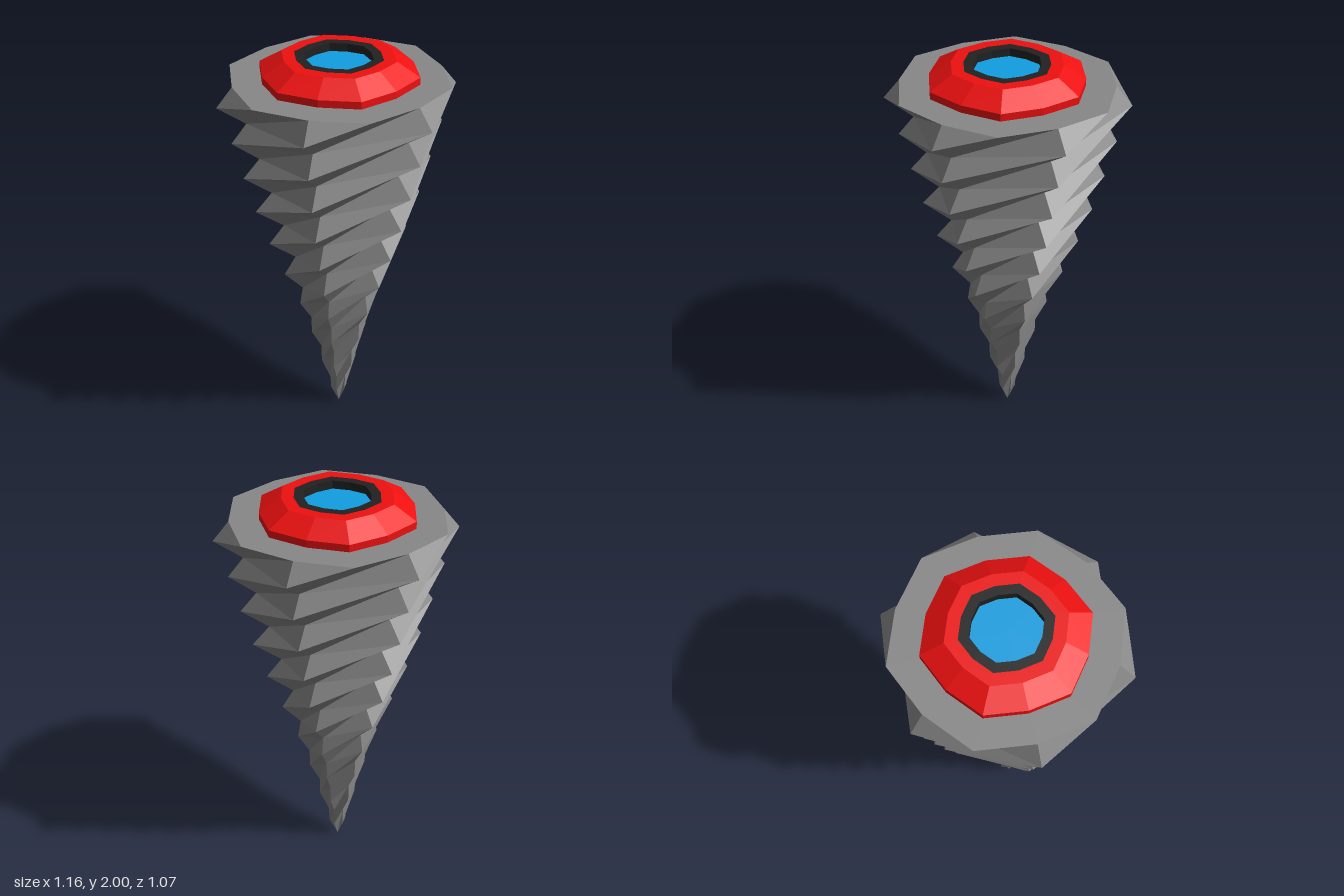
import * as THREE from 'three';

const TOP = 1.9;      // height of the drill's flat end
const STEP = 0.095;   // height between a ridge and the next groove

// radii down one column, from the flat end to just above the tip
const GROOVE = [0.505, 0.445, 0.39, 0.335, 0.28, 0.225, 0.19, 0.147, 0.095, 0.048];
const RIDGE = [0.582, 0.52, 0.47, 0.418, 0.355, 0.282, 0.205, 0.145, 0.093, 0.042];

const polar = (r, deg, y) => {
  const a = THREE.MathUtils.degToRad(deg);
  return new THREE.Vector3(r * Math.cos(a), y, -r * Math.sin(a));
};

// twelve-sided outline of the flat end, scaled about the axis
const outline = (scale, y) =>
  Array.from({ length: 12 }, (_, i) => polar((i % 2 ? 0.537 : 0.505) * scale, i * 30, y));

function flatMesh(name, color, triangles) {
  const geometry = new THREE.BufferGeometry().setFromPoints(triangles);
  geometry.computeVertexNormals();
  const mesh = new THREE.Mesh(geometry, new THREE.MeshStandardMaterial({ color, flatShading: true }));
  mesh.name = name;
  return mesh;
}

const quad = (out, a, b, c, d) => out.push(a, b, c, a, c, d);

// bands between successive outlines, given as [scale, y] from the outside in
function bands(profile) {
  const out = [];
  const rings = profile.map(([s, y]) => outline(s, y));
  for (let k = 0; k + 1 < rings.length; k++) {
    for (let i = 0; i < 12; i++) {
      const j = (i + 1) % 12;
      quad(out, rings[k][i], rings[k][j], rings[k + 1][j], rings[k + 1][i]);
    }
  }
  return out;
}

function disc(scale, y) {
  const out = [];
  const ring = outline(scale, y);
  ring.forEach((p, i) => out.push(new THREE.Vector3(0, y, 0), p, ring[(i + 1) % 12]));
  return out;
}

// six zigzag columns joined by threads that climb two steps per column
function drillTriangles() {
  const out = [];
  const tip = new THREE.Vector3(0, 0, 0);
  const columns = Array.from({ length: 6 }, (_, c) => {
    const points = [];
    for (let i = 0; i < 20; i++) {
      const r = (i % 2 ? RIDGE : GROOVE)[i >> 1];
      points.push(polar(r, c * 60, TOP - STEP * i));
    }
    points.push(tip);
    return points;
  });
  columns.forEach((a, c) => {
    const b = columns[(c + 1) % 6];
    // where the top ridge runs out through the flat end
    const cut = polar(0.537, c * 60 + 30, TOP);
    out.push(a[0], a[1], cut);
    quad(out, a[1], a[2], b[0], cut);
    for (let i = 2; i < 20; i++) {
      if (i === 19) quad(out, a[19], tip, b[18], b[17]);
      else quad(out, a[i], a[i + 1], b[i - 1], b[i - 2]);
    }
    out.push(tip, b[19], b[18]);
  });
  return out;
}

export function createModel() {
  const group = new THREE.Group();
  group.name = 'drill';

  // threaded bit with its flat end
  group.add(flatMesh('drillBit', 0x888888, drillTriangles()));
  group.add(flatMesh('drillEnd', 0x888888, disc(1, TOP)));

  // bevelled cap
  group.add(flatMesh('cap', 0xee1010, bands([[0.72, TOP], [0.72, 1.935], [0.515, 2], [0.4, 2]])));

  // dark rim around a shallow recess
  group.add(flatMesh('rim', 0x222222, bands([[0.4, 2], [0.31, 2], [0.31, 1.96]])));

  // lens at the bottom of the recess
  group.add(flatMesh('lens', 0x109ee0, disc(0.31, 1.96)));

  return group;
}
